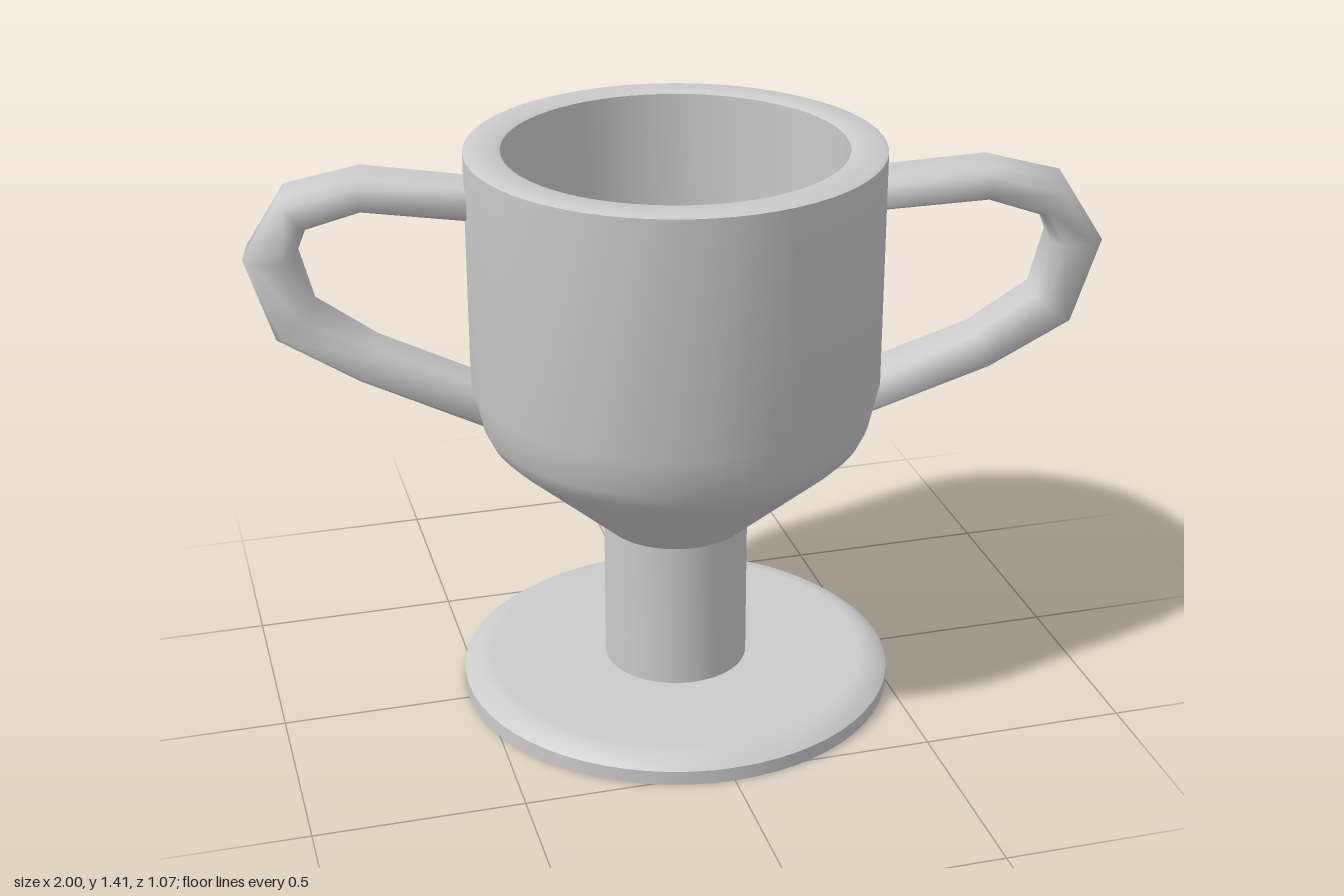
import * as THREE from 'three';
import { toCreasedNormals } from 'three/addons/utils/BufferGeometryUtils.js';

const material = new THREE.MeshStandardMaterial({ color: 0xcccccc, side: THREE.DoubleSide });

function turned(name, profile) {
  const points = profile.map(([r, y]) => new THREE.Vector2(r, y));
  const mesh = new THREE.Mesh(toCreasedNormals(new THREE.LatheGeometry(points, 64), 0.7), material);
  mesh.name = name;
  return mesh;
}

// Sweep a flattened, rounded section along [radius, height, sideways shift, half thickness, half width]
function handleGeometry() {
  const stations = [
    [0.45, 1.288, -0.012, 0.043, 0.076], [0.735, 1.317, -0.002, 0.043, 0.086],
    [0.89, 1.275, 0, 0.05, 0.09], [0.952, 1.165, -0.012, 0.062, 0.088],
    [0.903, 0.997, -0.008, 0.058, 0.086], [0.735, 0.89, -0.002, 0.048, 0.084],
    [0.45, 0.77, -0.012, 0.05, 0.076],
  ];
  const sides = 8, positions = [], index = [];
  const soften = (v) => Math.sign(v) * Math.abs(v) ** 0.55;
  stations.forEach(([x, y, z, thick, width], i) => {
    const a = stations[Math.max(i - 1, 0)], b = stations[Math.min(i + 1, stations.length - 1)];
    const normal = new THREE.Vector2(a[1] - b[1], b[0] - a[0]).normalize();
    for (let s = 0; s < sides; s++) {
      const t = ((s + 0.5) / sides) * Math.PI * 2;
      const n = soften(Math.cos(t)) * thick;
      positions.push(x + normal.x * n, y + normal.y * n, z + soften(Math.sin(t)) * width);
    }
  });
  for (let i = 0; i < stations.length - 1; i++) {
    for (let s = 0; s < sides; s++) {
      const a = i * sides + s, b = i * sides + ((s + 1) % sides);
      index.push(a, b, a + sides, b, b + sides, a + sides);
    }
  }
  // Ends stay open, buried in the cup wall
  const geometry = new THREE.BufferGeometry();
  geometry.setAttribute('position', new THREE.Float32BufferAttribute(positions, 3));
  geometry.setIndex(index);
  geometry.computeVertexNormals();
  return geometry;
}

export function createModel() {
  const model = new THREE.Group();
  model.name = 'twoHandledCup';

  // Foot: solid bevelled plate
  model.add(turned('foot', [[0, 0], [0.537, 0], [0.537, 0.036], [0.5, 0.063], [0.47, 0.063], [0, 0.063]]));

  model.add(turned('stem', [[0.178, 0.063], [0.178, 0.44]]));

  // Bowl: tapered underside, straight wall, softened rim and hollow inside
  model.add(turned('bowl', [
    [0.178, 0.44], [0.425, 0.662], [0.455, 0.693], [0.472, 0.728], [0.495, 0.83],
    [0.495, 1.405], [0.482, 1.41], [0.42, 1.41], [0.408, 1.405], [0.408, 0.77], [0, 0.77],
  ]));

  // Two handles, half a turn apart and slightly twisted off the x axis
  const geometry = handleGeometry();
  ['leftHandle', 'rightHandle'].forEach((name, i) => {
    const handle = new THREE.Mesh(geometry, material);
    handle.name = name;
    handle.rotation.y = -0.21 + i * Math.PI;
    model.add(handle);
  });
  return model;
}
